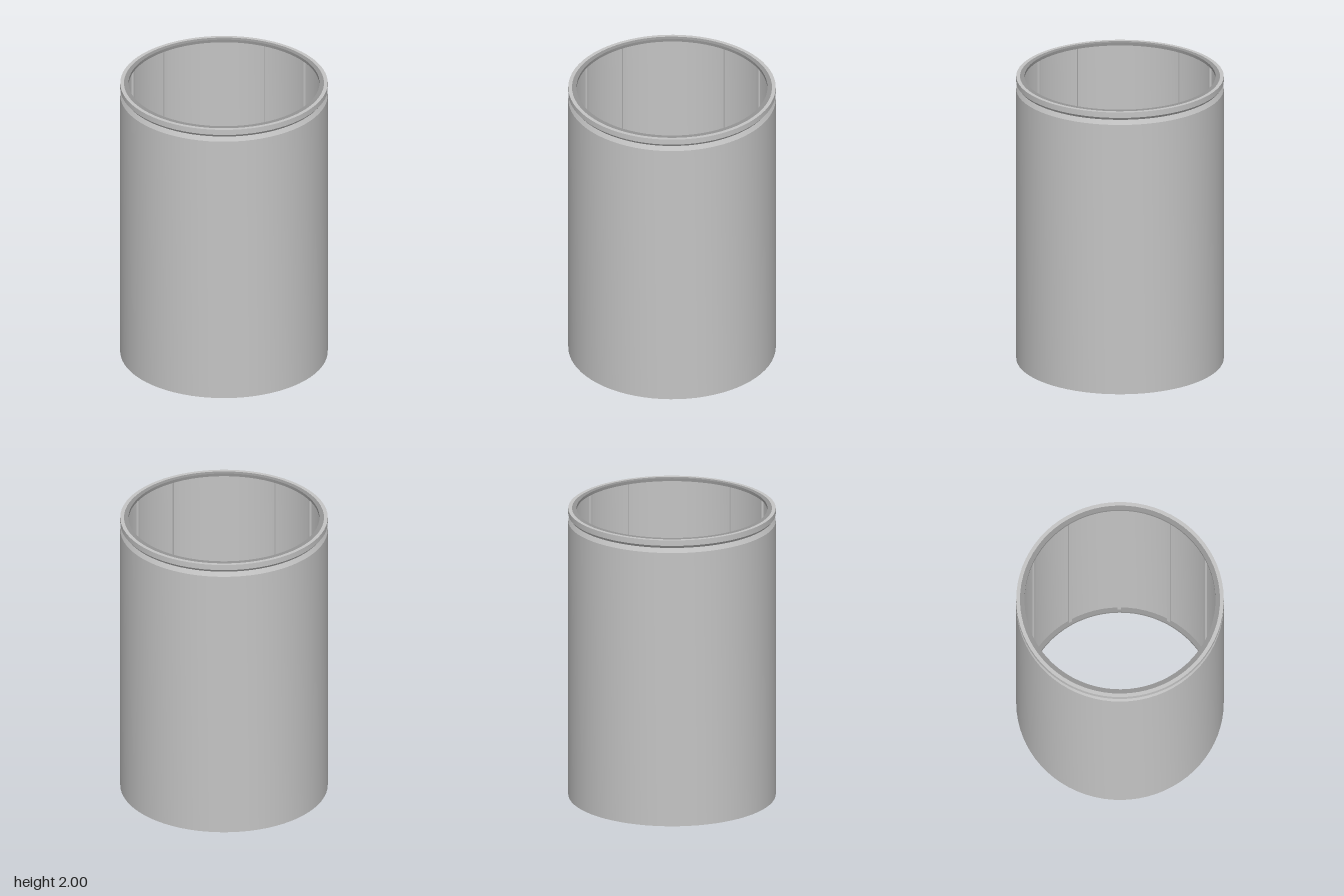
import * as THREE from 'three';
import { toCreasedNormals } from 'three/addons/utils/BufferGeometryUtils.js';

const SIDES = 72, RIBS = 12;
const HEIGHT = 2, OUTER = 0.69, WALL = 0.665, LIP = 0.635, LIP_HEIGHT = 0.02;

// Revolve a profile (inside-bottom, outward, up, inward, down) with crisp corners
function revolve(points) {
  const profile = points.map(([r, y]) => new THREE.Vector2(r, y));
  return toCreasedNormals(new THREE.LatheGeometry(profile, SIDES), 0.3);
}

export function createModel() {
  const model = new THREE.Group();
  const steel = new THREE.MeshStandardMaterial({ color: 0xc4c4c4 });
  steel.name = 'light grey';
  const darkSteel = new THREE.MeshStandardMaterial({ color: 0x949494 });
  darkSteel.name = 'dark grey';

  const add = (name, geometry, material, parent = model) => {
    const mesh = new THREE.Mesh(geometry, material);
    mesh.name = name;
    parent.add(mesh);
    return mesh;
  };

  // Hollow sleeve with a shallow V groove below its top edge
  add('sleeve', revolve([
    [WALL, 0], [OUTER, 0], [OUTER, 1.912], [0.675, 1.943],
    [OUTER, 1.962], [OUTER, HEIGHT], [WALL, HEIGHT], [WALL, 0],
  ]), steel);

  // Thin retaining lips at both ends
  for (const [name, y] of [['bottomLip', 0], ['topLip', HEIGHT - LIP_HEIGHT]]) {
    add(name, revolve([
      [LIP, y], [WALL, y], [WALL, y + LIP_HEIGHT], [LIP, y + LIP_HEIGHT], [LIP, y],
    ]), darkSteel);
  }

  // Narrow vertical ribs around the inner wall
  const ribs = new THREE.Group();
  ribs.name = 'innerRibs';
  model.add(ribs);
  const ribGeometry = new THREE.BoxGeometry(0.022, HEIGHT - 2 * LIP_HEIGHT, 0.018);
  for (let i = 0; i < RIBS; i++) {
    const angle = (i / RIBS) * Math.PI * 2;
    const rib = add('rib', ribGeometry, steel, ribs);
    rib.position.set(Math.sin(angle) * 0.659, HEIGHT / 2, Math.cos(angle) * 0.659);
    rib.rotation.y = angle;
  }

  return model;
}
